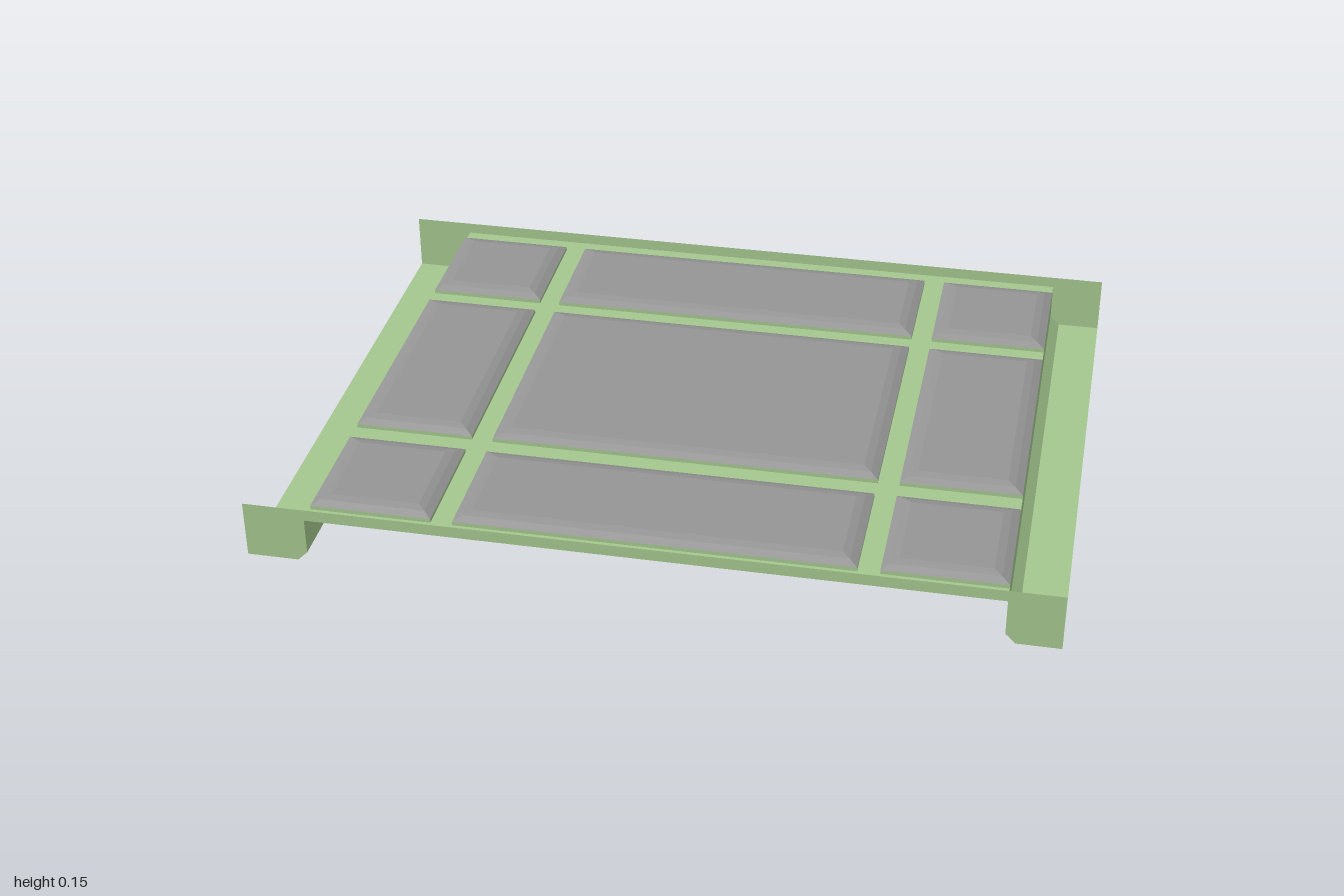
import * as THREE from 'three';

const green = new THREE.MeshStandardMaterial({ name: 'pale green', color: 0xa5c88f, side: THREE.DoubleSide });
const grey = new THREE.MeshStandardMaterial({ name: 'panel grey', color: 0x959595, side: THREE.DoubleSide });

const LEFT = -0.845, RIGHT = 0.865, HALF = 0.75, RIB = 0.12, TOP = 0.15;
const columns = [[LEFT, -0.54], [-0.485, 0.505], [0.56, RIGHT]];
const rows = [[-0.70, -0.385], [-0.33, 0.325], [0.385, 0.70]];

// Flat-shaded sheet from [a, b, c, d] quads
function quadSheet(quads) {
  const points = quads.flatMap(([a, b, c, d]) => [a, b, c, a, c, d]).flat();
  const geometry = new THREE.BufferGeometry();
  geometry.setAttribute('position', new THREE.Float32BufferAttribute(points, 3));
  geometry.computeVertexNormals();
  return geometry;
}

// Rectangle corners, inset from the given spans, at height y
function corners([x0, x1], [z0, z1], inset, y) {
  return [
    [x0 + inset, y, z1 - inset], [x1 - inset, y, z1 - inset],
    [x1 - inset, y, z0 + inset], [x0 + inset, y, z0 + inset],
  ];
}

// Sloping band joining two rectangles
function band(lower, upper) {
  return lower.map((p, i) => {
    const j = (i + 1) % 4;
    return [p, lower[j], upper[j], upper[i]];
  });
}

export function createModel() {
  const group = new THREE.Group();
  const add = (name, geometry, material, parent = group) => {
    const mesh = new THREE.Mesh(geometry, material);
    mesh.name = name;
    parent.add(mesh);
    return mesh;
  };

  // Rib grid: four cross ribs and short ribs between the panels
  const ribs = [[-HALF, -0.70], [-0.385, -0.33], [0.325, 0.385], [0.70, HALF]]
    .map((z) => corners([LEFT, RIGHT], z, 0, RIB));
  for (const z of rows) {
    for (const x of [[-0.54, -0.485], [0.505, 0.56]]) ribs.push(corners(x, z, 0, RIB));
  }
  add('ribGrid', quadSheet(ribs), green);

  // Coffers: green upright edge, grey bevelled panel
  for (const x of columns) {
    for (const z of rows) {
      const coffer = new THREE.Group();
      coffer.name = 'coffer';
      group.add(coffer);
      const rings = [[0, RIB], [0, 0.13], [0.02, 0.139], [0.04, 0.144]]
        .map(([inset, y]) => corners(x, z, inset, y));
      add('cofferEdge', quadSheet(band(rings[0], rings[1])), green, coffer);
      add('cofferPanel', quadSheet([
        ...band(rings[1], rings[2]), ...band(rings[2], rings[3]), rings[3],
      ]), grey, coffer);
    }
  }

  // Side channels: inner wall, chamfer and bottom ledge, open on top and outside
  for (const [name, wall, side] of [['rightChannel', LEFT, -1], ['leftChannel', RIGHT, 1]]) {
    const profile = [[wall, RIB], [wall, 0.025], [wall + side * 0.025, 0], [side, 0]];
    const quads = profile.slice(1).map(([x1, y1], i) => {
      const [x0, y0] = profile[i];
      const quad = [[x0, y0, HALF], [x1, y1, HALF], [x1, y1, -HALF], [x0, y0, -HALF]];
      return side > 0 ? quad : quad.reverse();
    });
    add(name, quadSheet(quads), green);
  }

  // End plates following the whole section
  const section = new THREE.Shape([
    [-1, 0], [LEFT - 0.025, 0], [LEFT, 0.025], [LEFT, RIB], [RIGHT, RIB],
    [RIGHT, 0.025], [RIGHT + 0.025, 0], [1, 0], [1, TOP], [-1, TOP],
  ].map(([x, y]) => new THREE.Vector2(x, y)));
  const plate = new THREE.ShapeGeometry(section);
  add('frontPlate', plate, green).position.z = HALF;
  const back = plate.clone();
  // Reverse the corners so the rear plate faces outward
  back.setIndex(Array.from(back.index.array).reverse());
  back.computeVertexNormals();
  add('backPlate', back, green).position.z = -HALF;

  // Shallow round lamp under the centre panel
  const lampProfile = [[0, 0.108], [0.05, 0.109], [0.08, 0.113], [0.105, 0.121], [0.125, 0.133], [0.134, 0.1435]]
    .map(([r, y]) => new THREE.Vector2(r, y));
  add('ceilingLamp', new THREE.LatheGeometry(lampProfile, 32), grey);

  return group;
}
